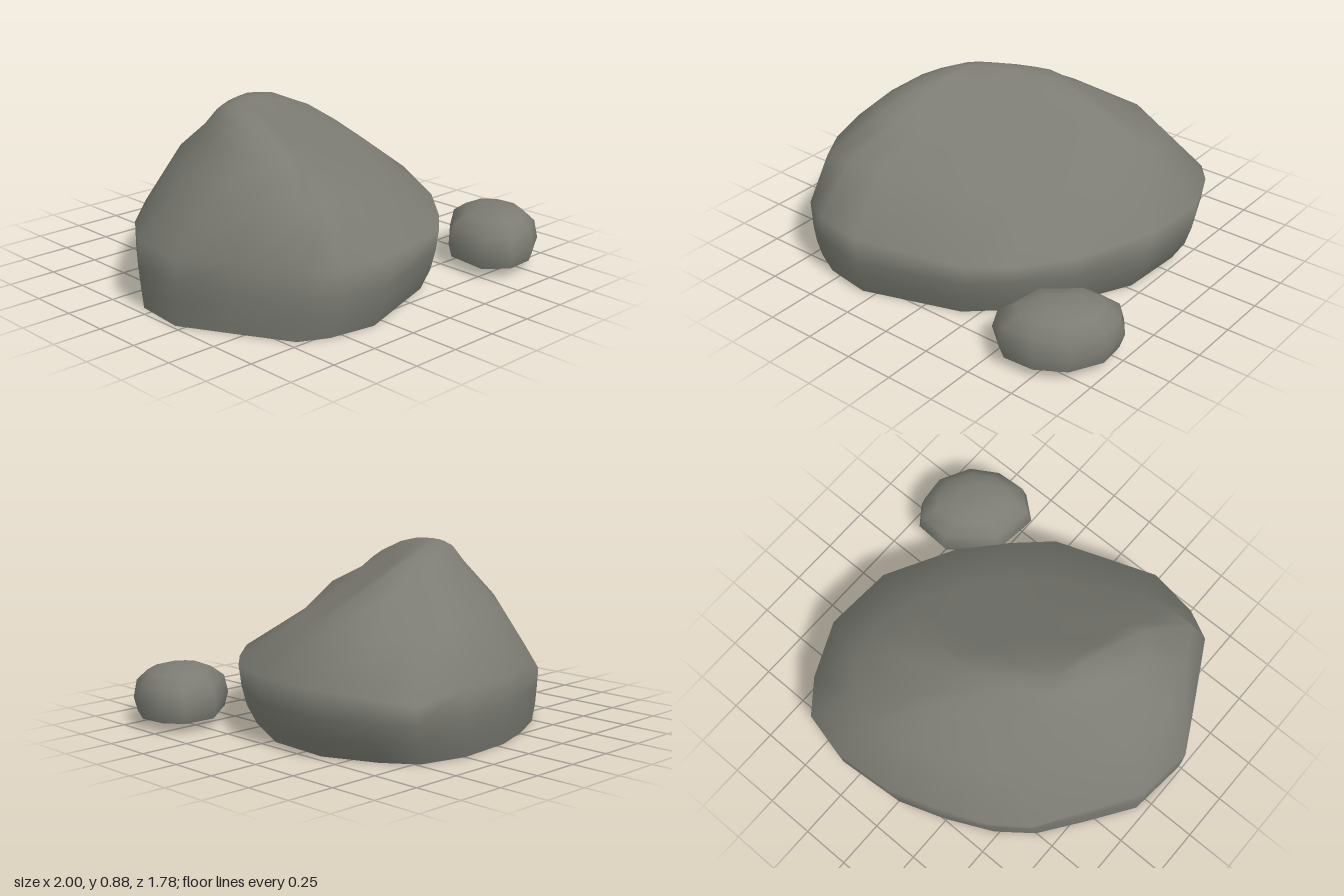
import * as THREE from 'three';

// Scale an outline of [x, z] points about a centre.
const scaled = (pts, cx, cz, sx, sz = sx) =>
  pts.map(([x, z]) => [cx + (x - cx) * sx, cz + (z - cz) * sz]);

// Smooth skin through stacked outlines, closed by a blunt peak and a flat underside.
// Each slope [c, a, b] planes the skin down to y <= c + a x + b z.
function loft(rings, peak, slopes, material, name) {
  const n = rings[0].pts.length, pos = [], idx = [];
  rings.forEach(({ y, pts }) => pts.forEach(([x, z]) => {
    pos.push(x, Math.min(y, ...slopes.map(([c, a, b]) => c + a * x + b * z)), z);
  }));
  for (let r = 0; r < rings.length - 1; r++) {
    for (let i = 0; i < n; i++) {
      const j = (i + 1) % n, a = r * n + i, b = r * n + j;
      idx.push(a, a + n, b, b, a + n, b + n);
    }
  }
  const top = pos.length / 3, last = (rings.length - 1) * n;
  pos.push(...peak);
  for (let i = 0; i < n; i++) idx.push(top, last + (i + 1) % n, last + i);

  // Underside has its own vertices so the rim stays sharp
  const base = pos.length / 3, { y, pts } = rings[0];
  let cx = 0, cz = 0;
  pts.forEach(([x, z]) => { pos.push(x, y, z); cx += x / n; cz += z / n; });
  pos.push(cx, y, cz);
  for (let i = 0; i < n; i++) idx.push(base + n, base + i, base + (i + 1) % n);

  const geo = new THREE.BufferGeometry();
  geo.setAttribute('position', new THREE.Float32BufferAttribute(pos, 3));
  geo.setIndex(idx);
  geo.computeVertexNormals();
  const mesh = new THREE.Mesh(geo, material);
  mesh.name = name;
  return mesh;
}

export function createModel() {
  const group = new THREE.Group();
  group.name = 'rocks';
  const stone = new THREE.MeshStandardMaterial({ color: 0x7c7c74 });
  stone.name = 'grey stone';

  // Boulder outlines run left, back, right, front
  const widest = [
    [-1, 0.22], [-0.97, -0.07], [-0.8, -0.32], [-0.64, -0.54], [-0.46, -0.68], [-0.23, -0.79],
    [0, -0.87], [0.32, -0.895], [0.57, -0.83], [0.69, -0.67], [0.81, -0.39], [0.79, -0.03],
    [0.61, 0.33], [0.42, 0.55], [0.24, 0.71], [-0.29, 0.885], [-0.55, 0.845], [-0.7, 0.77],
    [-0.86, 0.48]];
  const shoulder = [
    [-0.82, 0.28], [-0.78, 0.02], [-0.66, -0.22], [-0.51, -0.4], [-0.36, -0.51], [-0.19, -0.6],
    [0.02, -0.68], [0.23, -0.71], [0.41, -0.66], [0.52, -0.53], [0.56, -0.34], [0.52, -0.11],
    [0.36, 0.16], [0.22, 0.32], [0.05, 0.46], [-0.33, 0.65], [-0.5, 0.69], [-0.64, 0.69],
    [-0.74, 0.52]];
  const crown = [
    [-0.64, 0.22], [-0.6, 0.04], [-0.52, -0.13], [-0.41, -0.25], [-0.3, -0.32], [-0.16, -0.4],
    [0, -0.46], [0.12, -0.49], [0.23, -0.47], [0.3, -0.4], [0.31, -0.28], [0.24, -0.14],
    [0.12, 0.03], [0.02, 0.13], [-0.08, 0.22], [-0.3, 0.38], [-0.42, 0.43], [-0.51, 0.45],
    [-0.6, 0.36]];
  const boulderSlopes = [
    [0.74, -0.46, -0.46], // broad front right face
    [0.97, -0.41, 0.41],  // falling ridge
    [1.39, -0.79, 0.79],  // steep back right tip
    [1.58, 1.14, 1.14],   // back left flank
  ];
  group.add(loft([
    { y: 0, pts: scaled(widest, -0.72, 0, 0.93) },
    { y: 0.1, pts: scaled(widest, -0.75, 0, 0.97) },
    { y: 0.2, pts: scaled(widest, -0.85, 0, 0.99) },
    { y: 0.34, pts: widest },
    { y: 0.59, pts: shoulder },
    { y: 0.76, pts: crown },
    { y: 0.84, pts: scaled(crown, -0.35, -0.08, 0.62) },
    { y: 0.868, pts: scaled(crown, -0.35, -0.08, 0.32) },
  ], [-0.36, 0.878, -0.06], boulderSlopes, stone, 'boulder'));

  // Small rock beside the front corner
  const small = [
    [0.47, 0.79], [0.5, 0.55], [0.61, 0.46], [0.73, 0.36], [0.91, 0.37], [0.985, 0.47],
    [1, 0.62], [0.91, 0.79], [0.76, 0.88], [0.59, 0.89]];
  group.add(loft([
    { y: 0.05, pts: scaled(small, 0.74, 0.63, 0.92) },
    { y: 0.12, pts: small },
    { y: 0.21, pts: scaled(small, 0.75, 0.63, 0.92) },
    { y: 0.262, pts: scaled(small, 0.75, 0.64, 0.66) },
    { y: 0.282, pts: scaled(small, 0.74, 0.65, 0.34) },
  ], [0.73, 0.288, 0.65], [], stone, 'smallRock'));

  return group;
}
